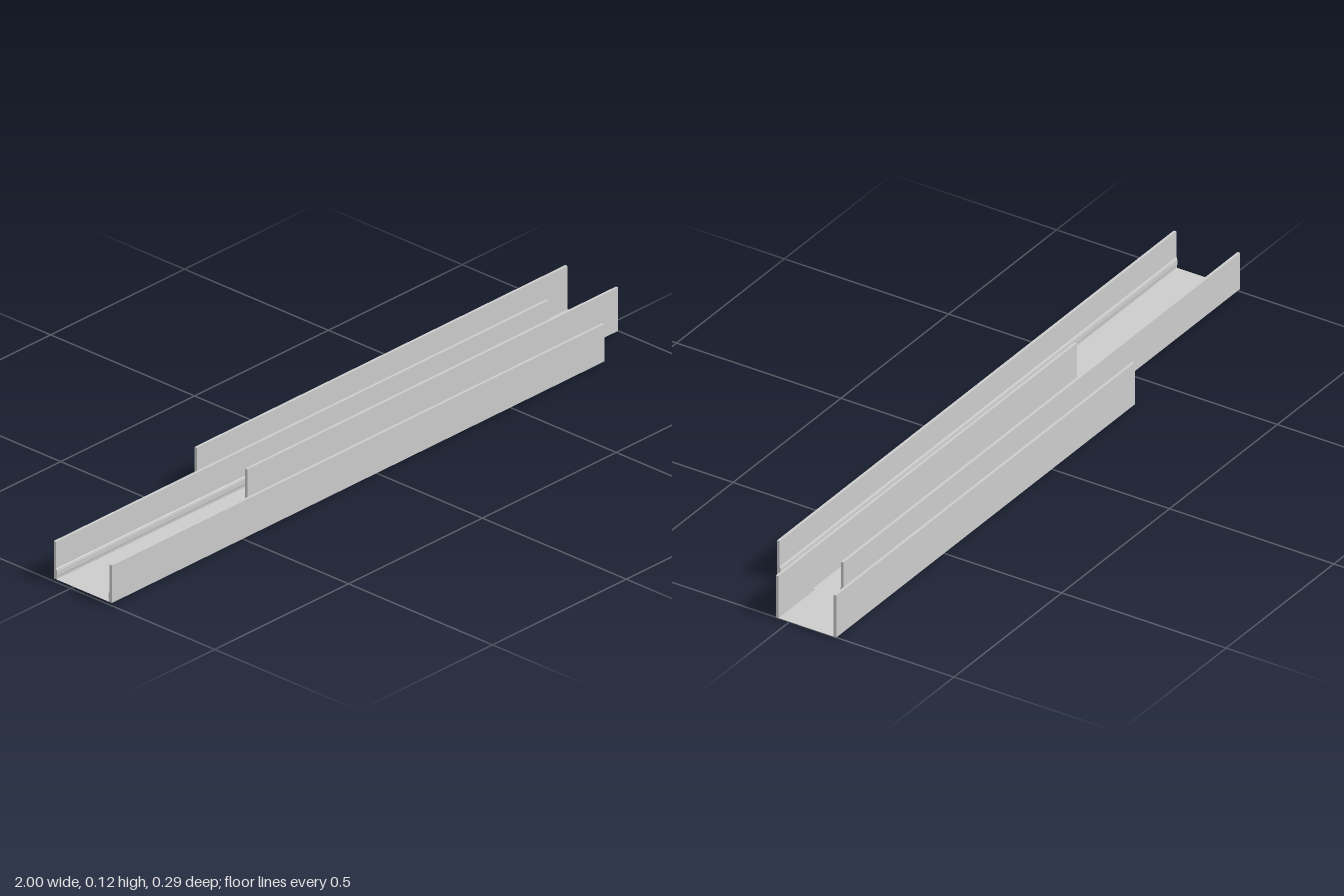
import * as THREE from 'three';

const material = new THREE.MeshStandardMaterial({ color: 0xcccccc, side: THREE.DoubleSide });

// Extrudes a wall section, given as [z, y] points, from x0 to x1
function wall(name, points, x0, x1) {
  const shape = new THREE.Shape(points.map(([z, y]) => new THREE.Vector2(-z, y)));
  const geometry = new THREE.ExtrudeGeometry(shape, { depth: x1 - x0, bevelEnabled: false });
  geometry.rotateY(Math.PI / 2).translate(x0, 0, 0);
  const mesh = new THREE.Mesh(geometry, material);
  mesh.name = name;
  return mesh;
}

// U-shaped channel: two mirrored walls on a thin floor sheet.
// The section is a list of [inward distance from the outer face, y].
function channel(name, { x0, x1, z0, z1, y, section }) {
  const group = new THREE.Group();
  group.name = name;
  group.add(wall('frontWall', section.map(([d, h]) => [z1 - d, h]), x0, x1));
  group.add(wall('backWall', section.map(([d, h]) => [z0 + d, h]), x0, x1));
  const sheet = new THREE.PlaneGeometry(x1 - x0, z1 - z0).rotateX(-Math.PI / 2);
  const floor = new THREE.Mesh(sheet, material);
  floor.name = 'floor';
  floor.position.set((x0 + x1) / 2, y, (z0 + z1) / 2);
  group.add(floor);
  return group;
}

export function createModel() {
  const model = new THREE.Group();
  model.name = 'slidingChannels';

  // Long channel, with a rounded rib along the inner foot of each wall
  model.add(channel('longChannel', {
    x0: -1, x1: 0.84, z0: -0.059, z1: 0.143, y: 0.008,
    section: [[0, 0.008], [0.0095, 0.008], [0.0095, 0.014], [0.011, 0.018], [0.011, 0.031],
      [0.0095, 0.037], [0.008, 0.039], [0.008, 0.115], [0, 0.115]],
  }));

  // Short channel, with plain walls
  model.add(channel('shortChannel', {
    x0: -0.385, x1: 1, z0: -0.142, z1: 0.042, y: 0,
    section: [[0, 0], [0.008, 0], [0.008, 0.124], [0, 0.124]],
  }));

  return model;
}
